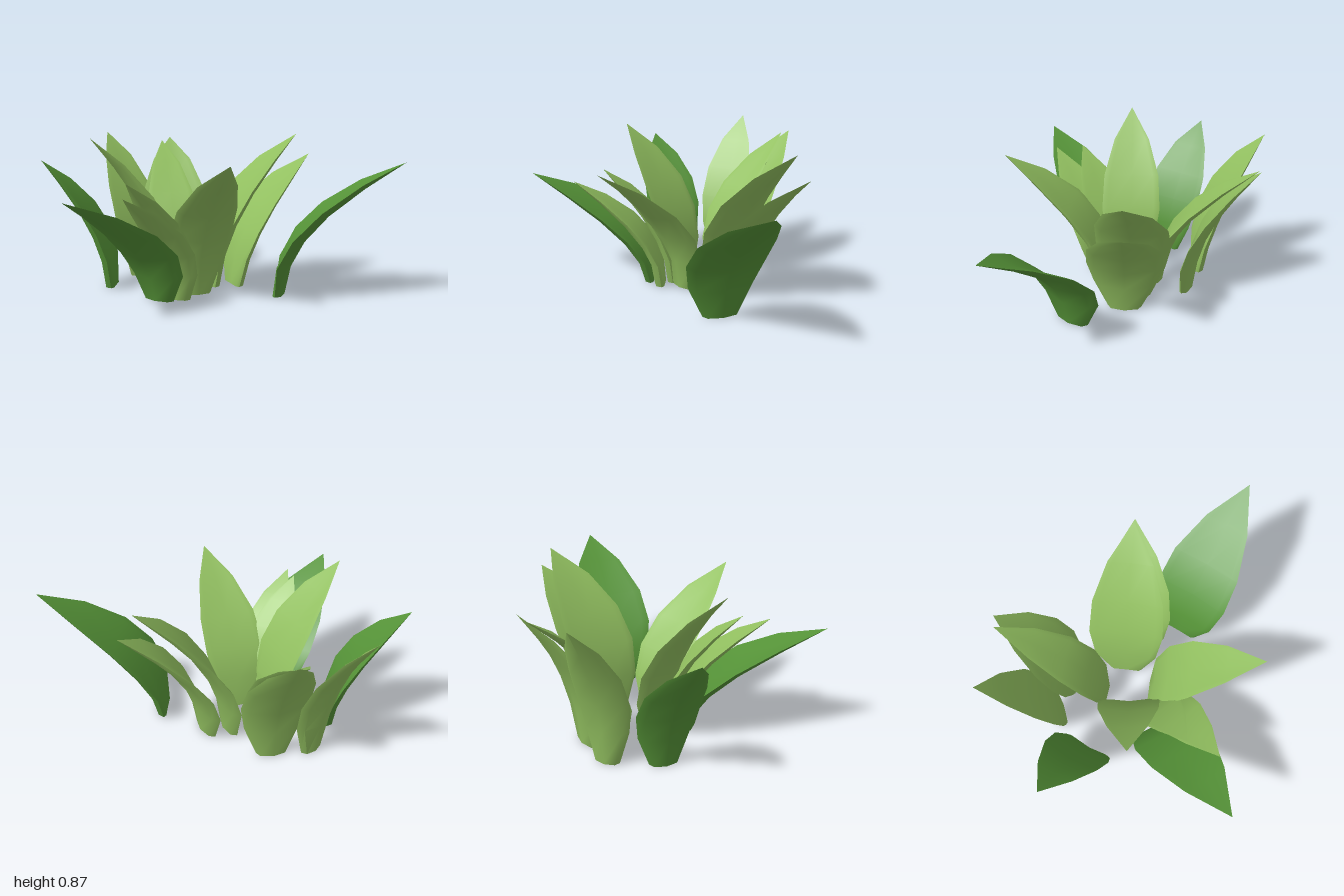
import * as THREE from 'three';
import { toCreasedNormals } from 'three/addons/utils/BufferGeometryUtils.js';

// Leaf stations: outward run, height, width, thickness (all as fractions)
const STATIONS = [
  [0, 0, 0.46, 1], [0.04, 0.23, 0.84, 0.95], [0.16, 0.43, 1, 0.8],
  [0.37, 0.63, 0.94, 0.6], [0.67, 0.83, 0.6, 0.4], [1, 1, 0.0, 0.0],
];
// Lens cross-section, counter-clockwise: across the leaf, through its thickness
const SECTION = [
  [0.5, 0.12], [0.4, 0.42], [0, 0.5], [-0.4, 0.42],
  [-0.5, 0.12], [-0.4, -0.4], [0, -0.6], [0.4, -0.4],
];
const THICKNESS = 0.055;
const CUP = 0.09;

function leafGeometry([bx, bz], [tx, ty, tz], width) {
  const run = Math.hypot(tx - bx, tz - bz);
  const dx = (tx - bx) / run, dz = (tz - bz) / run;
  const positions = [], index = [];
  const n = SECTION.length;

  STATIONS.forEach(([h, v, w, t], i) => {
    // Direction of the midrib in its own vertical plane; the foot is level
    const a = STATIONS[Math.max(i - 1, 0)], b = STATIONS[Math.min(i + 1, STATIONS.length - 1)];
    let th = (b[0] - a[0]) * run, tv = (b[1] - a[1]) * ty;
    if (i === 0) { th = 0; tv = 1; }
    const len = Math.hypot(th, tv);
    th /= len; tv /= len;
    for (const [u, k] of SECTION) {
      const side = u * w * width;
      // Margins curl up toward the inner face
      const lift = k * t * THICKNESS + CUP * width * w * (4 * u * u - 0.4) * (i === 0 ? 0.5 : 1);
      const out = h * run - lift * tv;
      positions.push(bx + dx * out + dz * side, v * ty + lift * th, bz + dz * out - dx * side);
    }
  });

  for (let i = 0; i < STATIONS.length - 1; i++) {
    for (let j = 0; j < n; j++) {
      const p = i * n + j, q = i * n + (j + 1) % n;
      index.push(p, q, q + n);
      if (i < STATIONS.length - 2) index.push(p, q + n, p + n);
      else index[index.length - 1] = p + n;
    }
  }
  // Foot cap, as strips between the two faces
  for (const [a, b, c] of [[0, 7, 1], [7, 6, 1], [6, 2, 1], [6, 5, 2], [5, 3, 2], [5, 4, 3]]) index.push(a, b, c);

  const g = new THREE.BufferGeometry();
  g.setAttribute('position', new THREE.Float32BufferAttribute(positions, 3));
  g.setIndex(index);
  return toCreasedNormals(g, 0.9);
}

// Foot (x, z), tip (x, y, z), width
const OUTER = [
  [[0.33, 0.08], [0.99, 0.74, 0.2], 0.44],
  [[-0.61, -0.13], [-1, 0.72, -0.18], 0.34],
  [[-0.33, 0.18], [-0.74, 0.62, 0.74], 0.4],
];
const INNER = [
  [[-0.22, 0.17], [-0.48, 0.61, 0.58], 0.28],
  [[-0.24, 0.08], [-0.48, 0.66, 0.4], 0.28],
  [[-0.28, -0.01], [-0.68, 0.87, 0.16], 0.34],
  [[-0.46, -0.38], [-0.67, 0.85, -0.66], 0.3],
  [[-0.24, -0.2], [-0.33, 0.79, -0.73], 0.28],
  [[-0.24, -0.39], [-0.28, 0.81, -0.75], 0.38],
  [[-0.03, -0.14], [0.47, 0.86, -0.28], 0.42],
  [[0.1, -0.14], [0.55, 0.74, -0.31], 0.42],
  [[-0.12, 0.07], [0.03, 0.77, 0.63], 0.35],
];

export function createModel() {
  const model = new THREE.Group();
  model.name = 'leafyPlant';
  const addLeaves = (name, color, leaves) => {
    const group = new THREE.Group();
    group.name = name;
    const material = new THREE.MeshStandardMaterial({ color });
    leaves.forEach((leaf, i) => {
      const mesh = new THREE.Mesh(leafGeometry(...leaf), material);
      mesh.name = `${name}${i + 1}`;
      group.add(mesh);
    });
    model.add(group);
  };
  addLeaves('outerLeaf', 0x569438, OUTER);
  addLeaves('innerLeaf', 0x92c060, INNER);
  return model;
}
